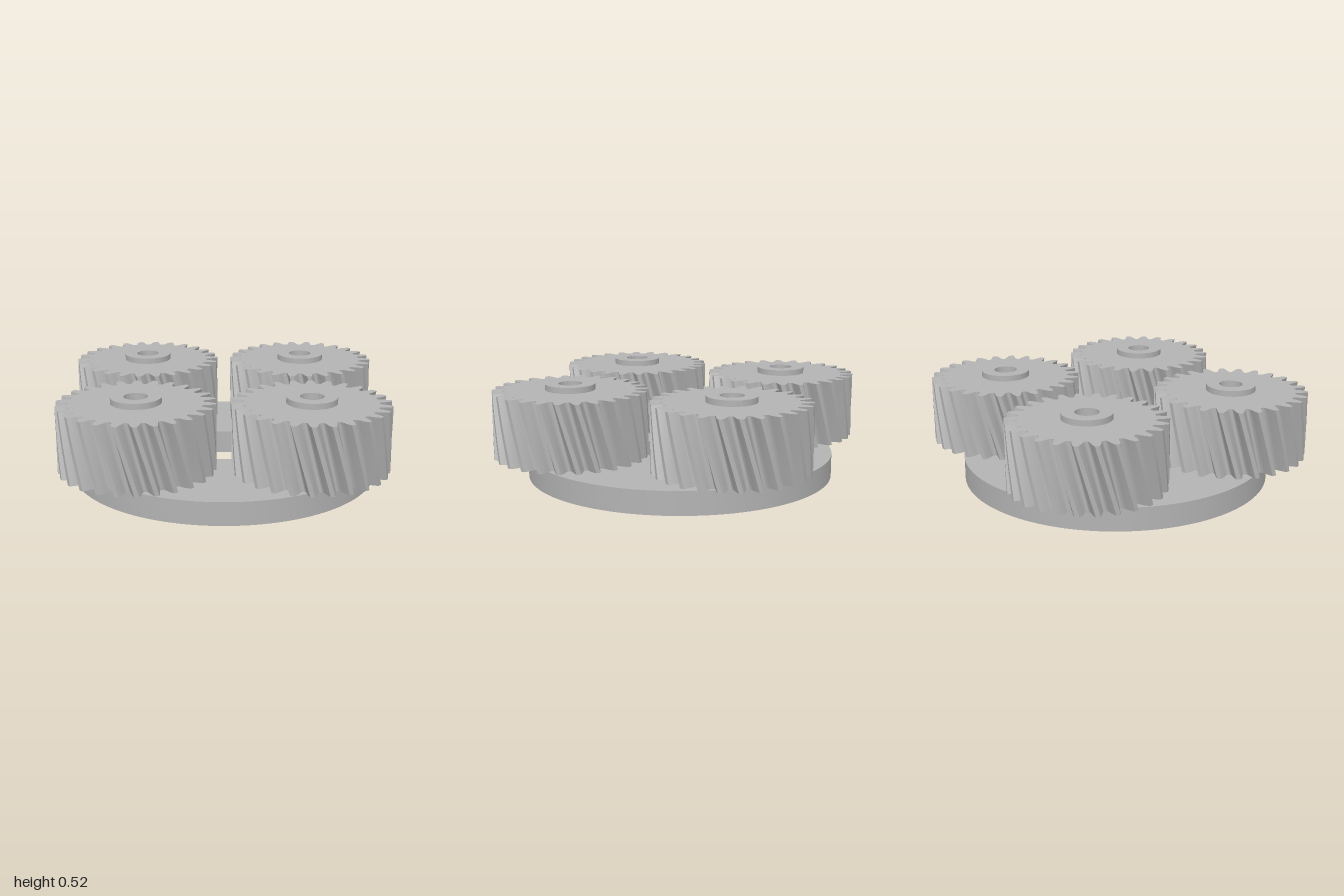
import * as THREE from 'three';
import { toCreasedNormals } from 'three/addons/utils/BufferGeometryUtils.js';

const TEETH = 26;
const TWIST = -0.25; // helix rotation from bottom to top face
const GEAR_HEIGHT = 0.34;

// Extrudes a flat outline upwards from y = 0
function extrudeUp(shape, depth, steps = 1) {
  const geometry = new THREE.ExtrudeGeometry(shape, {
    depth, steps, bevelEnabled: false, curveSegments: 72,
  });
  return geometry.rotateX(-Math.PI / 2);
}

function ringGeometry(outer, inner, height) {
  const shape = new THREE.Shape().absarc(0, 0, outer, 0, Math.PI * 2);
  shape.holes.push(new THREE.Path().absarc(0, 0, inner, 0, Math.PI * 2, true));
  return toCreasedNormals(extrudeUp(shape, height), 0.6);
}

// Helical gear: a toothed outline, twisted in proportion to height
function gearGeometry() {
  // half a tooth space: [fraction of pitch from the gap centre, radius]
  const flank = [[0.08, 0.329], [0.15, 0.335], [0.2, 0.347], [0.25, 0.363], [0.32, 0.379], [0.385, 0.393]];
  const profile = [...flank.map(([t, r]) => [-t, r]).reverse(), ...flank];
  const points = [];
  for (let i = 0; i < TEETH; i++) {
    for (const [t, r] of profile) {
      const a = -Math.PI / 2 + ((i + t) / TEETH) * Math.PI * 2;
      points.push(new THREE.Vector2(r * Math.cos(a), r * Math.sin(a)));
    }
  }
  const shape = new THREE.Shape(points);
  shape.holes.push(new THREE.Path().absarc(0, 0, 0.1, 0, Math.PI * 2, true));

  const geometry = extrudeUp(shape, GEAR_HEIGHT, 8);
  const position = geometry.attributes.position;
  const axis = new THREE.Vector3(0, 1, 0);
  const v = new THREE.Vector3();
  for (let i = 0; i < position.count; i++) {
    v.fromBufferAttribute(position, i);
    v.applyAxisAngle(axis, TWIST * (v.y / GEAR_HEIGHT - 1));
    position.setXYZ(i, v.x, v.y, v.z);
  }
  return toCreasedNormals(geometry, 0.6);
}

export function createModel() {
  const grey = new THREE.MeshStandardMaterial({ color: 0xb3b3b3 });
  grey.name = 'grey metal';

  const model = new THREE.Group();
  model.name = 'planetGearCarrier';

  function add(parent, name, geometry, y, z = 0) {
    const mesh = new THREE.Mesh(geometry, grey);
    mesh.name = name;
    mesh.position.set(0, y, z);
    parent.add(mesh);
  }

  // Carrier plate with its central opening
  add(model, 'carrierPlate', ringGeometry(0.805, 0.225, 0.12), 0);

  // Four planet gears on bored hubs
  const gear = gearGeometry();
  const hub = ringGeometry(0.126, 0.06, 0.4);
  for (let i = 0; i < 4; i++) {
    const planet = new THREE.Group();
    planet.name = 'planet' + (i + 1);
    planet.rotation.y = (i * Math.PI) / 2;
    add(planet, 'gear', gear, 0.15, 0.607);
    add(planet, 'hub', hub, 0.12, 0.607);
    model.add(planet);
  }
  return model;
}
